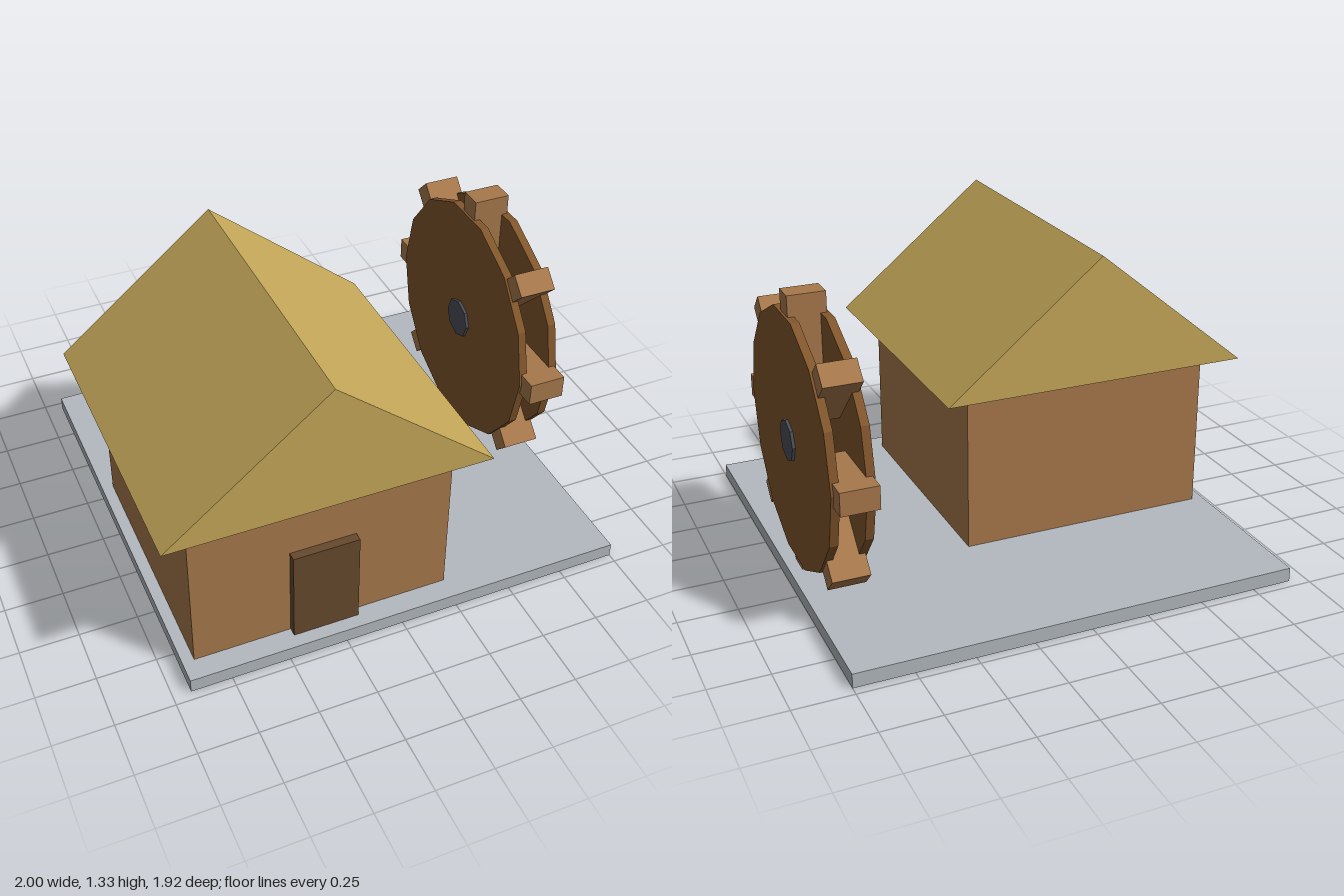
import * as THREE from 'three';

const paint = (name, color) => {
  const m = new THREE.MeshStandardMaterial({ color });
  m.name = name;
  m.flatShading = true;
  return m;
};

export function createModel() {
  const stone = paint('pale stone', 0xb3b9be);
  const timber = paint('timber', 0xa8784b);
  const thatch = paint('thatch', 0xc6a859);
  const darkWood = paint('dark wood', 0x664a2d);
  const wheelWood = paint('wheel wood', 0x82562c);
  const iron = paint('iron', 0x4a4f58);

  const model = new THREE.Group();
  model.name = 'watermill';

  const add = (parent, name, geometry, material, x = 0, y = 0, z = 0) => {
    const mesh = new THREE.Mesh(geometry, material);
    mesh.name = name;
    mesh.position.set(x, y, z);
    parent.add(mesh);
    return mesh;
  };
  // Box given by its lower and upper corners
  const block = (parent, name, material, [x0, y0, z0], [x1, y1, z1]) =>
    add(parent, name, new THREE.BoxGeometry(x1 - x0, y1 - y0, z1 - z0), material,
      (x0 + x1) / 2, (y0 + y1) / 2, (z0 + z1) / 2);
  // Cylinder lying along x
  const disc = (radius, width, sides) =>
    new THREE.CylinderGeometry(radius, radius, width, sides).rotateZ(Math.PI / 2);

  // Ground slab
  block(model, 'base', stone, [-0.925, 0, -0.96], [1, 0.062, 0.96]);

  // House
  const house = new THREE.Group();
  house.name = 'house';
  model.add(house);
  block(house, 'walls', timber, [-0.875, 0.062, -0.25], [0.237, 0.775, 0.862]);
  block(house, 'door', darkWood, [-0.46, 0.062, 0.85], [-0.175, 0.49, 0.9]);

  // Gable roof with overhanging eaves
  const gable = new THREE.Shape([
    new THREE.Vector2(-1, 0.775),
    new THREE.Vector2(0.363, 0.775),
    new THREE.Vector2(-0.318, 1.33),
  ]);
  const roof = new THREE.ExtrudeGeometry(gable, { depth: 1.317, bevelEnabled: false });
  add(house, 'roof', roof, thatch, 0, 0, -0.357);

  // Post that carries the axle
  block(model, 'wheelPost', iron, [0.81, 0.062, -0.16], [0.922, 0.64, -0.04]);

  // Water wheel: two discs, an axle and eight paddles
  const wheel = new THREE.Group();
  wheel.name = 'waterWheel';
  wheel.position.set(0.867, 0.64, -0.1);
  model.add(wheel);
  for (const side of [-1, 1]) {
    add(wheel, side < 0 ? 'rightDisc' : 'leftDisc', disc(0.555, 0.036, 14), wheelWood, side * 0.072);
  }
  add(wheel, 'axle', disc(0.09, 0.205, 8), iron);
  for (let i = 0; i < 8; i++) {
    const spoke = new THREE.Group();
    spoke.name = 'paddle' + (i + 1);
    spoke.rotation.x = (i * Math.PI) / 4;
    wheel.add(spoke);
    add(spoke, 'paddleBoard', new THREE.BoxGeometry(0.16, 0.34, 0.1), timber, 0, 0.46, 0);
  }

  return model;
}
